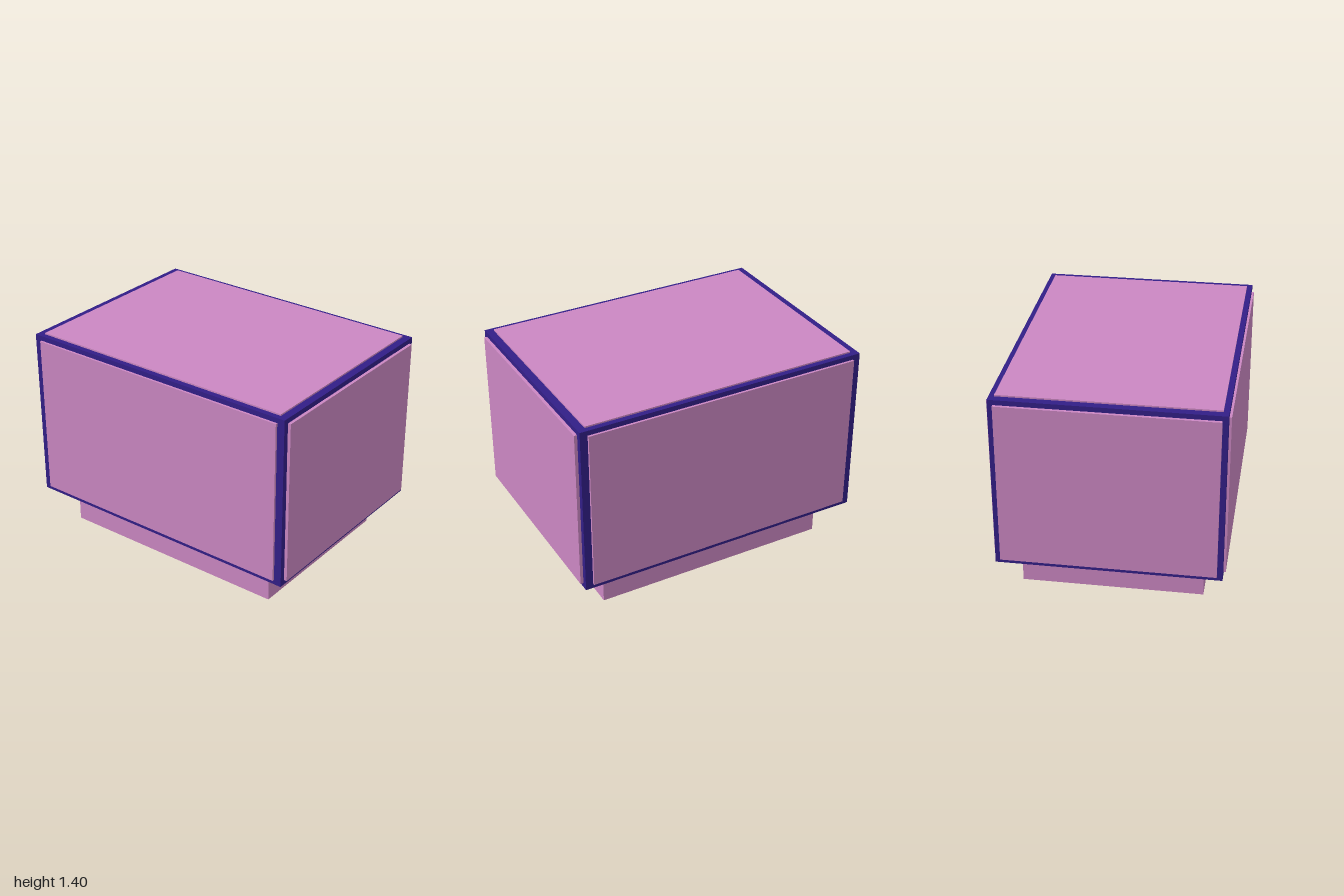
import * as THREE from 'three';

export function createModel() {
  const group = new THREE.Group();
  const pink = new THREE.MeshStandardMaterial({ color: 0xcb87c2 });
  const indigo = new THREE.MeshStandardMaterial({ color: 0x321e87 });

  // Box given by its size and centre
  const box = (name, material, w, h, d, x, y, z) => {
    const mesh = new THREE.Mesh(new THREE.BoxGeometry(w, h, d), material);
    mesh.name = name;
    mesh.position.set(x, y, z);
    group.add(mesh);
  };

  // Plinth and dark body
  box('base', pink, 1.6, 0.25, 1.17, 0, 0.125, 0);
  box('body', indigo, 1.96, 1.15, 1.43, 0, 0.82, 0);

  // Panels standing slightly proud of the body, leaving a dark border
  const t = 0.04, midY = 0.82, panelH = 1.085;
  for (const [s, face, side] of [[1, 'front', 'left'], [-1, 'back', 'right']]) {
    box(face + 'Panel', pink, 1.86, panelH, t, 0, midY, s * (0.73 - t / 2));
    box(side + 'Panel', pink, t, panelH, 1.36, s * (1 - t / 2), midY, 0);
  }
  box('topPanel', pink, 1.86, t, 1.36, 0, 1.405 - t / 2, 0);

  return group;
}
